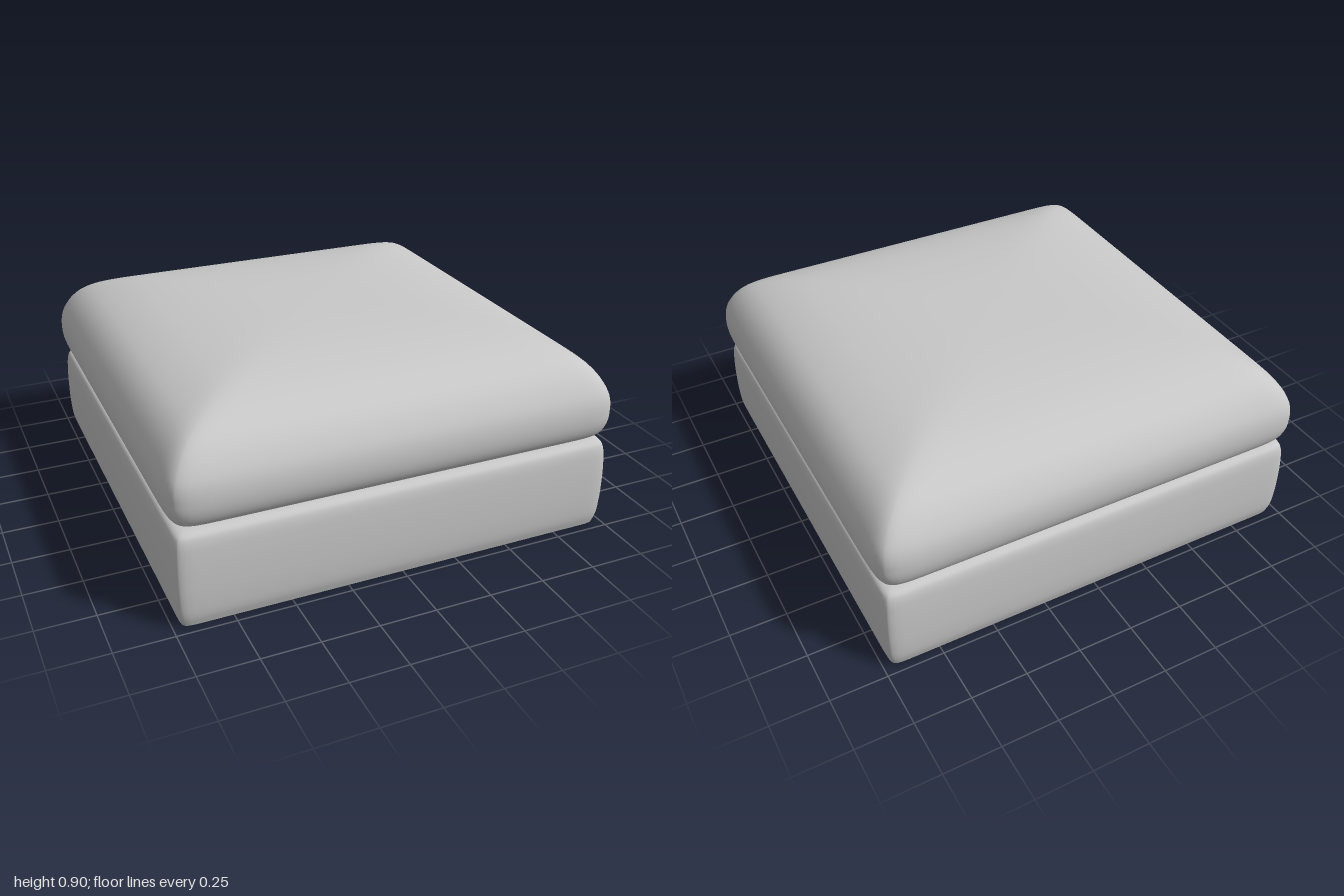
import * as THREE from 'three';

// Outline of a square with softened corners: rows of [x, z], denser near the corners
const SIDE = 32;
function outline(halfWidth, power) {
  const points = [];
  for (let side = 0; side < 4; side++) {
    const a = side * Math.PI / 2, c = Math.round(Math.cos(a)), s = Math.round(Math.sin(a));
    for (let i = 0; i < SIDE; i++) {
      const u = Math.sin((i / SIDE - 0.5) * Math.PI);
      const r = halfWidth / Math.pow(1 + Math.pow(Math.abs(u), power), 1 / power);
      points.push([r * (c * u + s), r * (s * u - c)]);
    }
  }
  return points;
}

// Stacks softened squares, from bottom to top; each level is [halfWidth, y, cornerPower]
function loft(levels) {
  const count = SIDE * 4, positions = [], indices = [];
  for (const [w, y, p] of levels) {
    for (const [x, z] of outline(w, p)) positions.push(x, y, z);
  }
  for (let l = 0; l < levels.length - 1; l++) {
    for (let i = 0; i < count; i++) {
      const j = (i + 1) % count;
      const a = l * count + i, b = l * count + j, c = a + count, d = b + count;
      indices.push(a, c, b, b, c, d);
    }
  }
  const geometry = new THREE.BufferGeometry();
  geometry.setAttribute('position', new THREE.Float32BufferAttribute(positions, 3));
  geometry.setIndex(indices);
  geometry.computeVertexNormals();
  return geometry;
}

// Smooths a few [halfWidth, y, cornerPower] points into many levels
function smooth(points, steps) {
  const curve = new THREE.CatmullRomCurve3(points.map(([w, y]) => new THREE.Vector3(w, y, 0)), false, 'centripetal');
  const last = points.length - 1;
  return Array.from({ length: steps + 1 }, (_, i) => {
    const t = i / steps, k = Math.min(Math.floor(t * last), last - 1), f = t * last - k;
    const v = curve.getPoint(t);
    return [v.x, v.y, THREE.MathUtils.lerp(points[k][2], points[k + 1][2], f)];
  });
}

export function createModel() {
  const group = new THREE.Group();
  group.name = 'ottoman';
  const fabric = new THREE.MeshStandardMaterial({ color: 0xc8c8c8 });
  fabric.name = 'grey fabric';

  const add = (name, geometry) => {
    const mesh = new THREE.Mesh(geometry, fabric);
    mesh.name = name;
    group.add(mesh);
  };

  // Padded base with slightly bulging sides and a soft top edge
  add('base', loft(smooth([
    [0.965, 0.005, 60], [0.978, 0.05, 50], [0.985, 0.12, 45], [0.987, 0.21, 45], [0.985, 0.31, 45],
    [0.978, 0.385, 45], [0.967, 0.41, 45], [0.94, 0.423, 45], [0.8, 0.425, 45], [0.001, 0.425, 45],
  ], 45)));

  // Flat underside with a sharp edge
  add('underside', loft([[0.001, 0, 60], [0.5, 0, 60], [0.962, 0.004, 60], [0.965, 0.006, 60]]));

  // Domed seat cushion
  add('cushion', loft(smooth([
    [0.001, 0.425, 30], [0.85, 0.425, 30], [0.92, 0.428, 30], [0.965, 0.452, 28], [0.99, 0.495, 24],
    [1, 0.56, 22], [0.99, 0.635, 24], [0.955, 0.705, 26], [0.91, 0.758, 26], [0.85, 0.799, 24],
    [0.72, 0.846, 18], [0.55, 0.877, 10], [0.35, 0.894, 5], [0.15, 0.9, 3], [0.001, 0.901, 2],
  ], 70)));

  return group;
}
